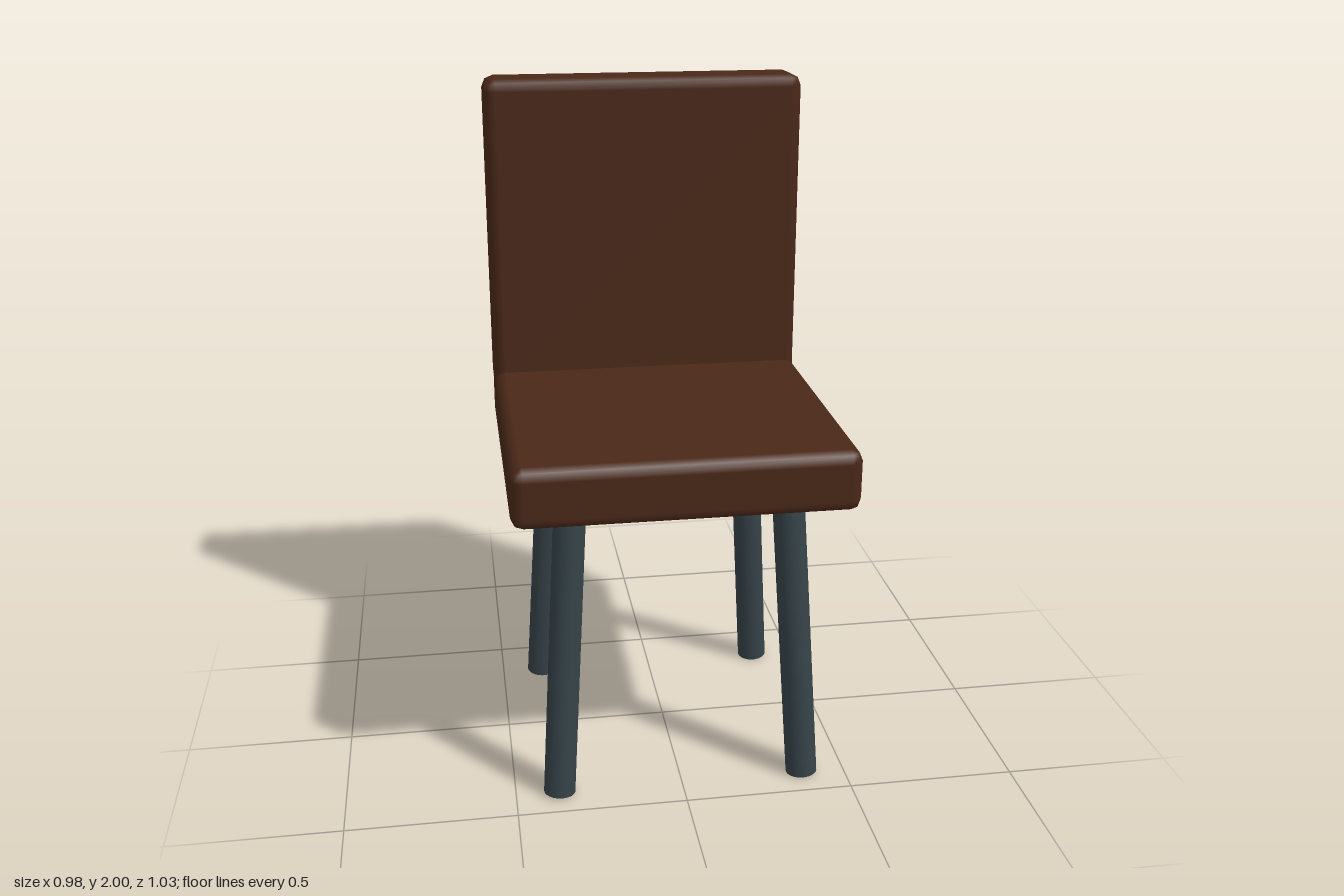
import * as THREE from 'three';
import { RoundedBoxGeometry } from 'three/addons/geometries/RoundedBoxGeometry.js';

const leather = new THREE.MeshStandardMaterial({ color: 0x4a2818 });
const metal = new THREE.MeshStandardMaterial({ color: 0x364348 });

// Soft-edged cushion between two corner points
function cushion(name, min, max) {
  const size = max.clone().sub(min);
  const mesh = new THREE.Mesh(new RoundedBoxGeometry(size.x, size.y, size.z, 1, 0.035), leather);
  mesh.position.copy(min).add(max).multiplyScalar(0.5);
  mesh.name = name;
  return mesh;
}

// Round leg running from its foot up to the seat
function leg(name, foot, top) {
  const axis = top.clone().sub(foot);
  const mesh = new THREE.Mesh(new THREE.CylinderGeometry(0.047, 0.047, axis.length(), 24), metal);
  mesh.position.copy(foot).add(top).multiplyScalar(0.5);
  mesh.quaternion.setFromUnitVectors(new THREE.Vector3(0, 1, 0), axis.normalize());
  mesh.name = name;
  return mesh;
}

export function createModel() {
  const chair = new THREE.Group();
  chair.name = 'chair';
  const v = (x, y, z) => new THREE.Vector3(x, y, z);

  chair.add(cushion('seat', v(-0.49, 0.905, -0.465), v(0.49, 1.085, 0.52)));
  chair.add(cushion('backrest', v(-0.49, 1.02, -0.515), v(0.49, 2, -0.335)));

  // Four splayed legs, sunk slightly into the seat
  for (const [sideName, sx] of [['Left', 1], ['Right', -1]]) {
    for (const [endName, sz] of [['front', 1], ['back', -1]]) {
      const foot = v(sx * 0.37, 0.004, 0.028 + sz * 0.37);
      const top = v(sx * 0.312, 0.96, 0.028 + sz * 0.312);
      chair.add(leg(`${endName}${sideName}Leg`, foot, top));
    }
  }
  return chair;
}
